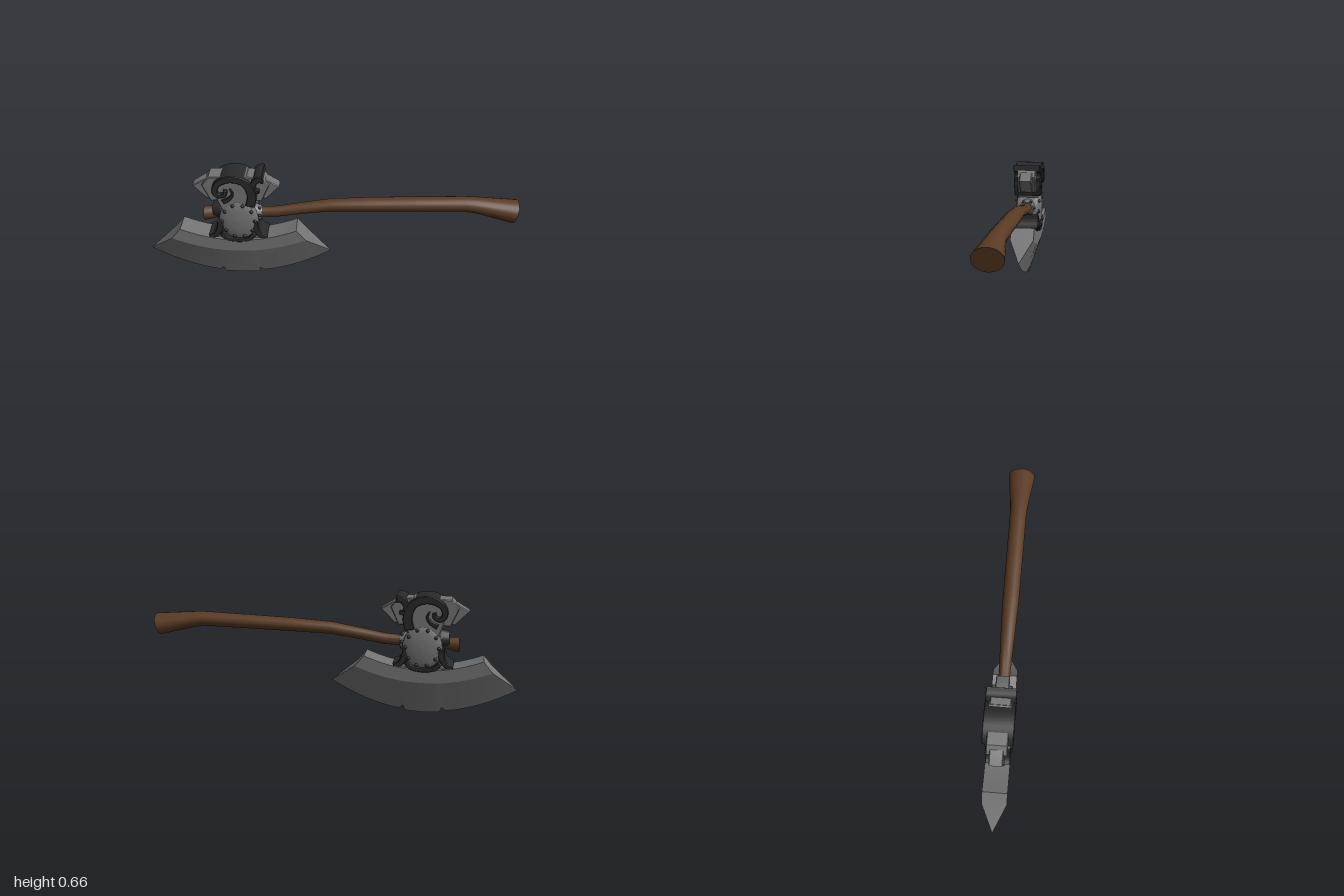
import * as THREE from 'three';
import { toCreasedNormals } from 'three/addons/utils/BufferGeometryUtils.js';

const mat = (name, color) => {
  const m = new THREE.MeshStandardMaterial({ color });
  m.name = name;
  return m;
};

// Solid through cross-sections ordered along +x; each runs from +y towards +z
function loft(rings, crease) {
  const pos = [];
  const tri = (...pts) => pts.forEach(p => pos.push(...p));
  const n = rings[0].length;
  for (let j = 0; j < rings.length - 1; j++) {
    const a = rings[j], b = rings[j + 1];
    for (let i = 0; i < n; i++) {
      const k = (i + 1) % n;
      tri(a[i], a[k], b[i]);
      tri(a[k], b[k], b[i]);
    }
  }
  const mid = r => r[1].map((v, i) => (v + r[n - 2][i]) / 2);
  const first = rings[0], last = rings[rings.length - 1];
  for (let i = 0; i < n; i++) {
    const k = (i + 1) % n;
    tri(mid(first), first[k], first[i]);
    tri(mid(last), last[i], last[k]);
  }
  const g = new THREE.BufferGeometry();
  g.setAttribute('position', new THREE.Float32BufferAttribute(pos, 3));
  return toCreasedNormals(g, crease);
}

// Front outline extruded evenly to both sides of z = 0
function slab(points, half, bevel = 0.004) {
  const shape = new THREE.Shape(points.map(p => new THREE.Vector2(p[0], p[1])));
  const g = new THREE.ExtrudeGeometry(shape, {
    depth: 2 * (half - bevel), bevelEnabled: bevel > 0, bevelSize: bevel,
    bevelOffset: -bevel, bevelThickness: bevel, bevelSegments: 1,
  });
  g.translate(0, 0, bevel - half);
  return toCreasedNormals(g, 0.6);
}

// Curved band whose half-width changes from w0 to w1
function ribbon(points, w0, w1, half) {
  const curve = new THREE.SplineCurve(points.map(p => new THREE.Vector2(p[0], p[1])));
  const left = [], right = [];
  const steps = points.length * 4;
  for (let i = 0; i <= steps; i++) {
    const t = i / steps, p = curve.getPoint(t), d = curve.getTangent(t);
    const w = w0 + (w1 - w0) * t;
    left.push([p.x - d.y * w, p.y + d.x * w]);
    right.unshift([p.x + d.y * w, p.y - d.x * w]);
  }
  return slab([...left, ...right], half, 0.003);
}

export function createModel() {
  const steel = mat('steel', 0x747475);
  const iron = mat('darkIron', 0x292929);
  const wood = mat('wood', 0x5a3b23);
  const model = new THREE.Group();
  model.name = 'battleAxe';
  const add = (name, geometry, material, parent = model) => {
    const m = new THREE.Mesh(geometry, material);
    m.name = name;
    parent.add(m);
    return m;
  };

  // Crescent blade: [position along blade, edge height, edge half-thickness]
  const half = [[0.188, 0.005, 0.004], [0.208, 0.037, 0.013], [0.252, 0.016, 0.004]];
  for (const t of [0.36, 0.48, 0.6, 0.7, 0.8, 0.9, 1]) half.push([t, 0.005 + 0.15 * t * t, 0.004 * (1 - t)]);
  const stations = [...half.map(s => [-s[0], s[1], s[2]]).reverse(), [0, 0, 0.004], ...half];
  add('blade', loft(stations.map(([t, by, e]) => {
    const tx = -0.5 + 0.315 * t, ty = 0.255 + 0.065 * t * t;
    const rx = -0.5 + 0.365 * t, ry = 0.185 + 0.075 * t * t;
    const bx = -0.5 + 0.5 * t, w = 0.066;
    return [[tx, ty, w], [rx, ry, w], [bx, by, e], [bx, by, -e], [rx, ry, -w], [tx, ty, -w]];
  }), 0.25), steel);

  // Handle: x, y, radius in y, radius in z, lean of the section
  const sections = [
    [-0.685, 0.39, 0.04, 0.04, 0], [-0.65, 0.392, 0.036, 0.036, 0], [-0.62, 0.394, 0.029, 0.029, 0],
    [-0.38, 0.4, 0.029, 0.027, 0], [-0.29, 0.404, 0.03, 0.028, 0.1], [-0.15, 0.427, 0.031, 0.032, 0.15],
    [0, 0.449, 0.033, 0.038, 0.08], [0.2, 0.457, 0.036, 0.044, 0.03], [0.45, 0.463, 0.038, 0.045, 0.02],
    [0.72, 0.468, 0.04, 0.046, -0.07], [0.78, 0.462, 0.043, 0.05, -0.12], [0.984, 0.428, 0.061, 0.075, -0.265],
  ];
  add('handle', loft(sections.map(([x, y, ry, rz, lean]) =>
    Array.from({ length: 20 }, (_, i) => {
      const a = i / 20 * Math.PI * 2, u = Math.cos(a) * ry;
      return [x - u * Math.sin(lean), y + u * Math.cos(lean), Math.sin(a) * rz];
    })), 0.7), wood);

  // Stepped hammer head with pointed ends
  const mirrored = pts => [...pts, ...pts.map(([x, y]) => [-x, y]).reverse()].map(([x, y]) => [x - 0.5, y]);
  add('headCore', slab(mirrored([[-0.09, 0.51], [-0.158, 0.5], [-0.23, 0.575], [-0.165, 0.615]]), 0.035), steel);
  add('headSleeve', slab(mirrored([[-0.09, 0.5], [-0.135, 0.495], [-0.178, 0.59], [-0.14, 0.637], [-0.06, 0.64]]), 0.053), steel);
  add('headNeck', slab(mirrored([[-0.07, 0.42], [-0.1, 0.5], [-0.105, 0.6], [-0.06, 0.642]]), 0.06), steel);

  // Curled iron straps wrapped over the head
  add('hornStrap', ribbon([[-0.425, 0.475], [-0.413, 0.54], [-0.435, 0.603], [-0.48, 0.632], [-0.54, 0.634],
    [-0.592, 0.607], [-0.607, 0.563], [-0.587, 0.537], [-0.556, 0.546], [-0.552, 0.57]], 0.026, 0.01, 0.078), iron);
  add('innerCurl', ribbon([[-0.57, 0.495], [-0.535, 0.515], [-0.515, 0.545], [-0.528, 0.575]], 0.014, 0.003, 0.07), iron);
  add('sideStrap', ribbon([[-0.352, 0.637], [-0.385, 0.632], [-0.405, 0.6], [-0.395, 0.568], [-0.372, 0.566]], 0.019, 0.009, 0.077), iron);

  // Bracket joining hub and blade, with iron claws
  add('bracket', slab(mirrored([[-0.14, 0.262], [-0.1, 0.34], [-0.09, 0.45], [-0.06, 0.49]]), 0.05), steel);
  for (const s of [-1, 1]) {
    add('claw', ribbon([[0.09, 0.37], [0.1, 0.32], [0.125, 0.285], [0.158, 0.277]].map(([x, y]) => [-0.5 + s * x, y]),
      0.02, 0.01, 0.066), iron);
  }
  add('lowerScroll', ribbon([[-0.59, 0.3], [-0.56, 0.268], [-0.5, 0.258], [-0.44, 0.268], [-0.41, 0.3]], 0.012, 0.012, 0.072), iron);

  // Collars where the handle passes through the hub
  const collar = (name, x, y, r0, r1, length, material) => {
    const c = add(name, new THREE.CylinderGeometry(r1, r0, length, 14), material);
    c.rotation.z = -Math.PI / 2;
    c.position.set(x, y, 0);
  };
  collar('frontCollar', -0.395, 0.4, 0.052, 0.036, 0.05, steel);
  collar('rearCollar', -0.6, 0.42, 0.04, 0.056, 0.065, iron);
  for (let i = 0; i < 6; i++) {
    const a = (i + 0.5) / 6 * Math.PI * 2;
    add('collarRivet', new THREE.SphereGeometry(0.009, 8, 6), iron)
      .position.set(-0.382, 0.4 + Math.cos(a) * 0.04, Math.sin(a) * 0.04);
  }

  // Domed, riveted hub plate on each face
  const profile = [[0, 0.077], [0.04, 0.075], [0.075, 0.07], [0.1, 0.062], [0.108, 0.055], [0.108, 0.03]]
    .reverse().map(([r, z]) => new THREE.Vector2(r, z));
  for (const s of [1, -1]) {
    const hub = new THREE.Group();
    hub.name = s > 0 ? 'frontHub' : 'backHub';
    hub.position.set(-0.493, 0.378, 0);
    hub.rotation.y = s > 0 ? 0 : Math.PI;
    model.add(hub);
    const dome = new THREE.LatheGeometry(profile, 28);
    dome.rotateX(Math.PI / 2);
    dome.scale(0.97, 1.08, 1);
    add('hubPlate', dome, steel, hub);
    for (let i = 0; i < 10; i++) {
      const a = (i + 0.5) / 10 * Math.PI * 2;
      add('hubRivet', new THREE.SphereGeometry(0.01, 8, 6), iron, hub)
        .position.set(Math.sin(a) * 0.088, Math.cos(a) * 0.099, 0.066);
    }
  }
  return model;
}
